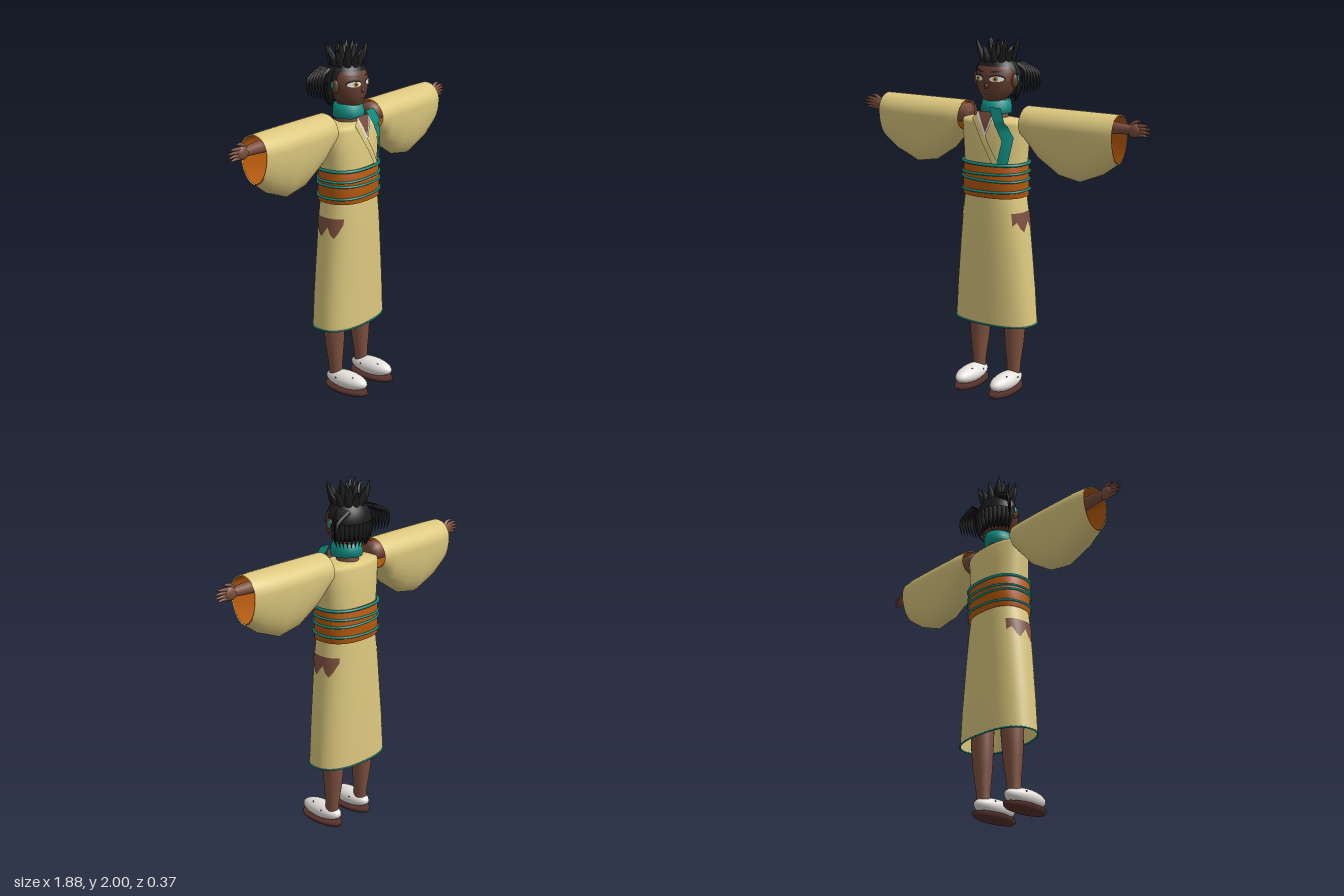
import * as THREE from 'three';

const mat = (name, color, side = THREE.FrontSide) => {
  const m = new THREE.MeshStandardMaterial({ color, side });
  m.name = name;
  return m;
};
const D = THREE.DoubleSide;

// Smooth surface from a rule fn(i, j) -> [x, y, z]; wrap joins the last column to the first
function grid(rows, cols, fn, wrap = true) {
  const pos = [], idx = [], n = wrap ? cols : cols + 1;
  for (let i = 0; i <= rows; i++) for (let j = 0; j < n; j++) pos.push(...fn(i, j));
  for (let i = 0; i < rows; i++) for (let j = 0; j < cols; j++) {
    const k = (j + 1) % n, a = i * n + j, b = a + n, c = (i + 1) * n + k, d = i * n + k;
    idx.push(a, b, c, a, c, d);
  }
  const g = new THREE.BufferGeometry();
  g.setAttribute('position', new THREE.Float32BufferAttribute(pos, 3));
  g.setIndex(idx);
  g.computeVertexNormals();
  return g;
}

// Upright body from rings [y, halfWidth, zFront, zBack]
const sp = (v, e) => Math.sign(v) * Math.abs(v) ** (2 / e);
const loft = (rings, e = 2.4, n = 48) => grid(rings.length - 1, n, (i, j) => {
  const [y, rx, zf, zb] = rings[i], a = j / n * Math.PI * 2;
  return [rx * sp(Math.cos(a), e), y, (zf + zb) / 2 + (zf - zb) / 2 * sp(Math.sin(a), e)];
});
function ringAt(rings, y) {
  let i = 0;
  while (i < rings.length - 2 && y > rings[i + 1][0]) i++;
  const t = THREE.MathUtils.clamp((y - rings[i][0]) / (rings[i + 1][0] - rings[i][0]), 0, 1);
  return rings[i].map((v, k) => v + (rings[i + 1][k] - v) * t);
}
const frontOf = (rings, e, off) => (x, y) => {
  const [, rx, zf, zb] = ringAt(rings, y);
  return (zf + zb) / 2 + (zf - zb) / 2 * Math.max(0, 1 - Math.abs(x / rx) ** e) ** (1 / e) + off;
};
// Thin painted shapes laid on a front surface
const disc = (cx, cy, rx, ry, z, tilt = 0) => grid(4, 20, (i, j) => {
  const a = j / 20 * Math.PI * 2, u = rx * i / 4 * Math.cos(a);
  const x = cx + u, y = cy + ry * i / 4 * Math.sin(a) + u * tilt;
  return [x, y, z(x, y)];
});
const quad = (a, b, c, d, z) => grid(8, 8, (i, j) => {
  const u = i / 8, v = j / 8;
  const p = k => (a[k] * (1 - u) + b[k] * u) * (1 - v) + (d[k] * (1 - u) + c[k] * u) * v;
  return [p(0), p(1), z(p(0), p(1))];
}, false);
// Tapered strand along a curve
function strand(pts, r, tip = 0.001, seg = 8) {
  const c = new THREE.CatmullRomCurve3(pts.map(p => new THREE.Vector3(...p)));
  const f = c.computeFrenetFrames(seg, false);
  return grid(seg, 8, (i, j) => {
    const a = j / 8 * Math.PI * 2, w = r + (tip - r) * (i / seg) ** 1.5;
    return c.getPointAt(i / seg).addScaledVector(f.normals[i], w * Math.cos(a))
      .addScaledVector(f.binormals[i], -w * Math.sin(a)).toArray();
  });
}
const ball = (x, y, z, sx, sy, sz) => new THREE.SphereGeometry(1, 24, 16).scale(sx, sy, sz).translate(x, y, z);

const SKIRT = [[0.4, 0.25, 0.1, -0.18], [0.6, 0.236, 0.1, -0.178], [0.85, 0.212, 0.1, -0.172], [1.02, 0.194, 0.1, -0.168], [1.15, 0.175, 0.095, -0.162]];
const TORSO = [[1.3, 0.182, 0.09, -0.16], [1.42, 0.192, 0.085, -0.16], [1.53, 0.205, 0.07, -0.15], [1.548, 0.203, 0.06, -0.14], [1.56, 0.09, 0.045, -0.1], [1.563, 0.001, 0, -0.05]];
const OBI = [[1.13, 0.17, 0.09, -0.16], [1.132, 0.189, 0.105, -0.175], [1.22, 0.187, 0.103, -0.174], [1.318, 0.188, 0.1, -0.172], [1.322, 0.17, 0.08, -0.15]];
const HEAD = [[1.642, 0.002, 0.0, -0.04], [1.648, 0.035, 0.033, -0.07], [1.67, 0.068, 0.05, -0.1], [1.71, 0.099, 0.058, -0.13], [1.76, 0.116, 0.063, -0.145], [1.8, 0.116, 0.06, -0.145], [1.84, 0.105, 0.045, -0.14], [1.88, 0.07, 0.005, -0.11], [1.895, 0.002, -0.04, -0.05]];

export function createModel() {
  const root = new THREE.Group();
  const skin = mat('skin', 0x7d503e), face = mat('faceSkin', 0x633d2e), robe = mat('robeYellow', 0xdcc87e, D);
  const teal = mat('teal', 0x0f8f84, D), orange = mat('orange', 0xb5590c, D), black = mat('hairBlack', 0x1c1c1d, D);
  const white = mat('white', 0xe6e2de), sole = mat('soleBrown', 0x54302a), amber = mat('irisAmber', 0xb08a3c);
  const add = (name, g, m, parent = root) => {
    const o = new THREE.Mesh(g, m);
    o.name = name;
    parent.add(o);
    return o;
  };

  // Robe, sash and cords
  add('skirt', loft(SKIRT), robe);
  add('torso', loft(TORSO), robe);
  add('sash', loft(OBI), orange);
  const loop = (y, rings, off, tilt, r) => new THREE.TubeGeometry(new THREE.CatmullRomCurve3(
    Array.from({ length: 32 }, (_, j) => {
      const [, rx, zf, zb] = ringAt(rings, y), a = j / 32 * Math.PI * 2, x = (rx + off) * sp(Math.cos(a), 2.4);
      return new THREE.Vector3(x, y + tilt * x, (zf + zb) / 2 + ((zf - zb) / 2 + off) * sp(Math.sin(a), 2.4));
    }), true), 96, r, 6, true);
  add('hem', loop(0.405, SKIRT, 0, 0, 0.005), teal);
  [[1.316, 0, 0.009], [1.262, 0.03, 0.007], [1.228, -0.02, 0.007], [1.165, 0.02, 0.007]].forEach(([y, t, r]) =>
    add('sashCord', loop(y, OBI, 0.003, t, r), teal));

  // Torn hip openings with a jagged lower edge
  const jag = [0.98, 1.0, 0.96, 0.94, 0.97, 1.0, 0.96, 0.94, 0.97, 1.02];
  for (const s of [-1, 1]) add('hipTear', grid(4, 27, (i, j) => {
    const t = j / 3, k = Math.min(8, Math.floor(t)), low = jag[k] + (jag[k + 1] - jag[k]) * (t - k);
    const z = s * (0.0925 - 0.185 * j / 27) - 0.0375, y = low + (1.05 - low) * i / 4;
    const [, rx, zf, zb] = ringAt(SKIRT, y);
    const q = Math.abs((z - (zf + zb) / 2) / ((zf - zb) / 2));
    return [s * (rx * (1 - q ** 2.4) ** (1 / 2.4) + 0.004), y, z];
  }, false).rotateY(0), Object.assign(skin, { side: D }));

  // Neckline, lapel and scarf
  const chest = o => (x, y) => (y > 1.53 ? 0.072 - (y - 1.53) * 0.25 : frontOf(TORSO, 2.4, 0)(x, y)) + o;
  add('openNeck', quad([-0.055, 1.6], [0.01, 1.47], [0.01, 1.47], [0.05, 1.6], chest(0.006)), skin);
  add('collarTrim', quad([-0.062, 1.59], [0.012, 1.455], [0.012, 1.48], [-0.05, 1.6], chest(0.01)), white);
  add('collarTrim', quad([0.005, 1.455], [0.06, 1.59], [0.048, 1.6], [0.005, 1.48], chest(0.01)), white);
  add('lapel', quad([-0.085, 1.56], [0.06, 1.32], [0.1, 1.32], [-0.058, 1.585], chest(0.009)), robe);
  add('scarfTail', quad([0.02, 1.625], [0.115, 1.45], [0.17, 1.47], [0.095, 1.625], chest(0.016)), teal);
  add('scarfTail', quad([0.115, 1.45], [0.09, 1.325], [0.145, 1.325], [0.17, 1.47], chest(0.016)), teal);
  add('neck', new THREE.CylinderGeometry(0.055, 0.065, 0.14, 24).translate(0, 1.6, -0.045), skin);
  add('scarf', loft([[1.58, 0.06, 0.03, -0.1], [1.585, 0.085, 0.055, -0.125], [1.62, 0.084, 0.052, -0.125], [1.655, 0.075, 0.04, -0.12], [1.657, 0.05, 0.01, -0.09]], 2), teal);

  // Arms, symmetric front to back, so the right one is turned half round
  const SLEEVE = [[0.2, 1.465, 0.098], [0.245, 1.41, 0.104], [0.29, 1.355, 0.107], [0.41, 1.277, 0.11], [0.535, 1.255, 0.11], [0.67, 1.31, 0.108], [0.76, 1.375, 0.09]];
  const sleeve = inset => grid(SLEEVE.length - 1, 32, (i, j) => {
    const [x, low, w] = SLEEVE[i], a = j / 32 * Math.PI * 2, c = Math.cos(a);
    return [x, 1.54 + c * ((c > 0 ? 0.095 : 1.54 - low) - inset), -(w - inset) * Math.sin(a)];
  });
  const ARM = [[0.185, 0.001], [0.187, 0.055], [0.3, 0.055], [0.5, 0.045], [0.7, 0.034], [0.83, 0.025]];
  for (const s of [1, -1]) {
    const arm = new THREE.Group();
    arm.name = s > 0 ? 'leftArm' : 'rightArm';
    arm.position.z = -0.045;
    if (s < 0) arm.rotation.y = Math.PI;
    add('sleeve', sleeve(0), robe, arm);
    add('sleeveLining', sleeve(0.006), orange, arm);
    add('forearm', grid(ARM.length - 1, 20, (i, j) => {
      const a = j / 20 * Math.PI * 2, [x, r] = ARM[i];
      return [x, 1.565 + r * Math.cos(a), -r * Math.sin(a)];
    }), skin, arm);
    add('palm', ball(0.843, 1.563, 0, 0.043, 0.037, 0.02), skin, arm);
    [[0.928, 1.592], [0.942, 1.573], [0.94, 1.553], [0.925, 1.535]].forEach(([x, y], k) =>
      add('finger', strand([[0.86, 1.585 - k * 0.015, 0], [0.9, (1.585 - k * 0.015 + y) / 2 + 0.002, 0], [x, y, 0]], 0.0115, 0.004), skin, arm));
    add('thumb', strand([[0.825, 1.585, 0], [0.85, 1.606, 0], [0.885, 1.612, 0]], 0.013, 0.004), skin, arm);
    root.add(arm);

    // Legs and slippers
    const leg = new THREE.Group();
    leg.name = s > 0 ? 'leftLeg' : 'rightLeg';
    leg.position.x = s * 0.118;
    add('shin', loft([[0.08, 0.036, 0, -0.075], [0.15, 0.038, 0, -0.08], [0.28, 0.054, 0.008, -0.1], [0.4, 0.062, 0.012, -0.11], [0.6, 0.066, 0.02, -0.11]], 2, 24), skin, leg);
    add('slipper', ball(0, 0.075, 0.04, 0.06, 0.05, 0.14), white, leg);
    add('sole', loft([[0.005, 0.001, 0.05, 0.03], [0.006, 0.055, 0.17, -0.095], [0.02, 0.067, 0.187, -0.105], [0.034, 0.064, 0.18, -0.102], [0.036, 0.001, 0.05, 0.03]], 2, 32), sole, leg);
    [[-0.03, 0.105], [0.032, 0.08], [0.053, 0.0], [-0.053, 0.0]].forEach(([x, z]) => {
      const y = 0.075 + 0.05 * Math.sqrt(1 - (x / 0.06) ** 2 - ((z - 0.04) / 0.14) ** 2);
      const g = new THREE.ConeGeometry(0.013, 0.012, 3);
      const n = new THREE.Vector3(x / 0.0036, (y - 0.075) / 0.0025, (z - 0.04) / 0.0196).normalize();
      add('slipperTear', g, sole, leg).position.set(x, y, z);
      g.applyQuaternion(new THREE.Quaternion().setFromUnitVectors(new THREE.Vector3(0, 1, 0), n));
    });
    root.add(leg);
  }

  // Head and face
  add('head', loft(HEAD, 2.2), face);
  const fz = o => frontOf(HEAD, 2.2, o);
  for (const s of [-1, 1]) {
    add('eyeLine', disc(s * 0.058, 1.781, 0.041, 0.019, fz(0.002)), black);
    add('eyeWhite', disc(s * 0.058, 1.777, 0.037, 0.015, fz(0.004)), white);
    add('iris', disc(s * 0.056, 1.777, 0.014, 0.0145, fz(0.006)), amber);
    add('pupil', disc(s * 0.056, 1.777, 0.006, 0.007, fz(0.008)), black);
    add('eyebrow', disc(s * 0.058, 1.817, 0.038, 0.005, fz(0.004), s * 0.08), black);
    add('ear', ball(s * 0.124, 1.765, -0.03, 0.016, 0.038, 0.022), face);
    add('earring', ball(s * 0.138, 1.775, -0.04, 0.006, 0.022, 0.008), teal);
  }
  add('nose', ball(0, 1.738, 0.062, 0.011, 0.013, 0.01), face);
  add('mouth', disc(0, 1.694, 0.024, 0.004, fz(0.003)), sole);

  // Hair cap with a hairline that drops from forehead to nape
  add('hairCap', grid(14, 48, (i, j) => {
    const a = j / 48 * Math.PI * 2, f = Math.sin(a);
    const low = f > 0.35 ? 1.842 : f > -0.1 ? 1.80 : 1.675;
    const p = i / 14 * Math.acos((low - 1.775) / 0.135), r = Math.max(0.001, Math.sin(p));
    return [0.132 * r * Math.cos(a), 1.775 + 0.135 * Math.cos(p), -0.05 - 0.115 * r * f * -1];
  }), black);
  // Crown spikes, nape fringe and side tufts
  for (let k = 0; k < 12; k++) {
    const a = (k + 0.5) / 12 * Math.PI * 2, c = Math.cos(a), d = Math.sin(a), h = 1.945 + 0.045 * ((k * 5) % 3) / 2;
    add('crownSpike', strand([[0.07 * c, 1.86, -0.05 + 0.065 * d], [0.098 * c, 1.91, -0.05 + 0.082 * d], [0.13 * c, h, -0.05 + 0.1 * d]], 0.024), black);
  }
  for (let k = 0; k < 6; k++) {
    const a = k / 6 * Math.PI * 2, c = Math.cos(a), d = Math.sin(a);
    add('topSpike', strand([[0.035 * c, 1.87, -0.05 + 0.03 * d], [0.042 * c, 1.93, -0.05 + 0.035 * d], [0.055 * c, 2 - 0.012 * (k % 3), -0.05 + 0.045 * d]], 0.024), black);
  }
  for (let k = 0; k <= 14; k++) {
    const a = Math.PI * (1.04 + 0.92 * k / 14), c = Math.cos(a), d = Math.sin(a);
    add('napeStrand', strand([[0.126 * c, 1.78, -0.05 + 0.11 * d], [0.125 * c, 1.71, -0.05 + 0.112 * d], [0.1 * c, 1.645, -0.05 + 0.095 * d]], 0.016), black);
  }
  for (const s of [-1, 1]) for (let k = 0; k < 6; k++) {
    const x = 0.145 + 0.011 * k, z = -0.085 - 0.012 * k;
    add('sideTuft', strand([[s * 0.1, 1.85, z], [s * (x - 0.002), 1.82 - 0.004 * k, z - 0.01], [s * (x + 0.004), 1.75, z - 0.01], [s * x, 1.685 + 0.004 * k, z]], 0.014), black);
  }
  return root;
}
